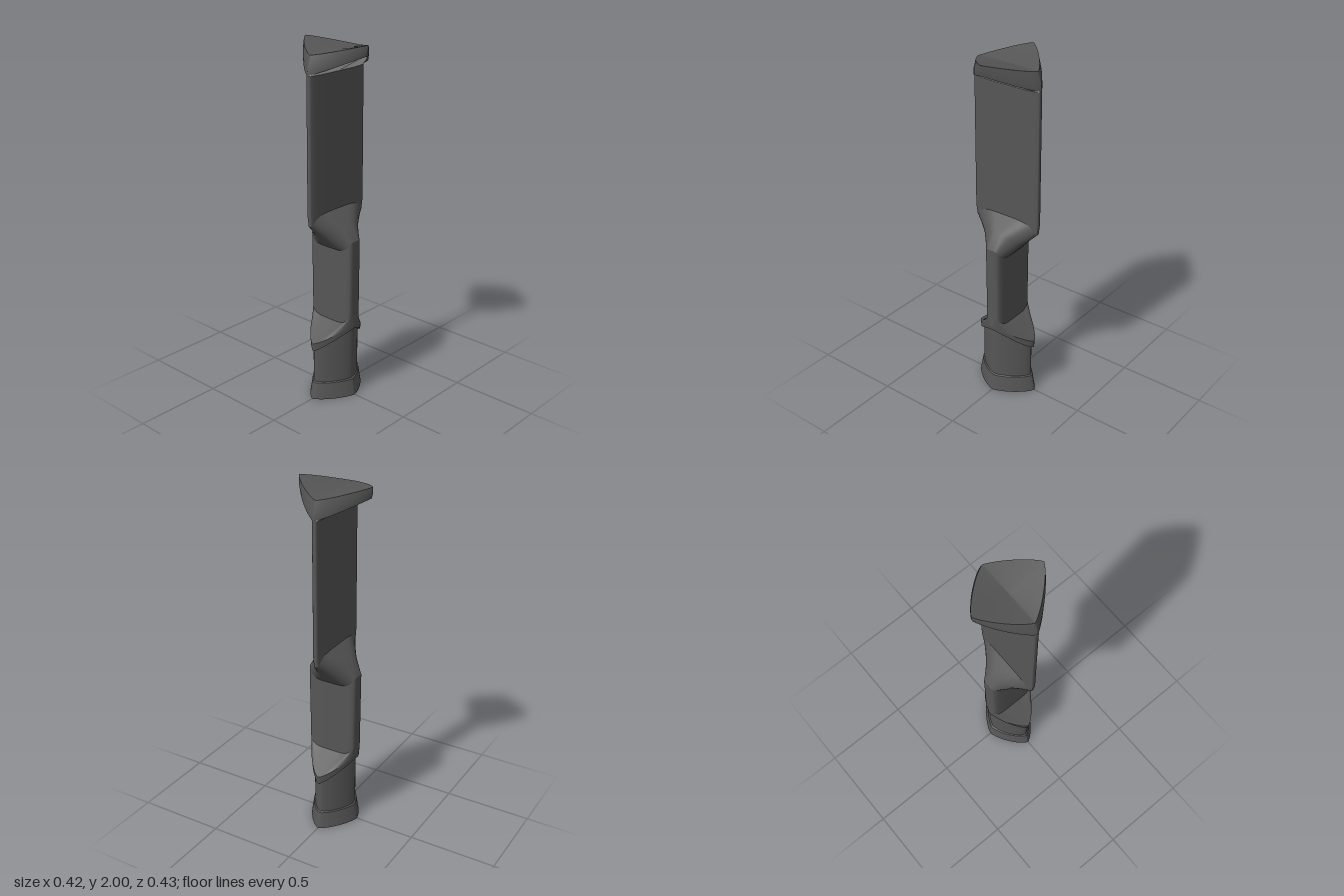
import * as THREE from 'three';

const SEG = 96;
const dark = new THREE.MeshStandardMaterial({ color: 0x565656 });
dark.name = 'darkGrey';
const light = new THREE.MeshStandardMaterial({ color: 0xe0e0e0 });
light.name = 'lightPanel';

// One point of a superellipse ring [halfX, halfZ, exponent, y at the x tips, y at the z tips]
function ringPoint([a, b, n, yx, yz], i) {
  const f = (i / SEG) * Math.PI * 2;
  const c = Math.cos(f), s = Math.sin(f);
  const pow = (v) => (Math.abs(v) < 1e-9 ? 0 : Math.sign(v) * Math.abs(v) ** (2 / n));
  return [a * pow(c), yx + (yz - yx) * s * s, b * pow(s)];
}

// Smooth skin through rings listed from bottom to top
function loft(rings) {
  const pos = [], index = [];
  rings.forEach((r, k) => {
    for (let i = 0; i < SEG; i++) {
      pos.push(...ringPoint(r, i));
      if (k === rings.length - 1) continue;
      const j = (i + 1) % SEG;
      const p = k * SEG + i, q = k * SEG + j;
      index.push(p, p + SEG, q, q, p + SEG, q + SEG);
    }
  });
  const g = new THREE.BufferGeometry();
  g.setAttribute('position', new THREE.Float32BufferAttribute(pos, 3));
  g.setIndex(index);
  g.computeVertexNormals();
  return g;
}

export function createModel() {
  const group = new THREE.Group();
  const add = (name, rings, material = dark) => {
    const mesh = new THREE.Mesh(loft(rings), material);
    mesh.name = name;
    group.add(mesh);
  };

  // Foot
  const footLow = [0.195, 0.145, 1.35, 0, 0];
  const footHigh = [0.176, 0.13, 1.35, 0.095, 0.095];
  const coreLow = [0.166, 0.12, 1.4, 0.1, 0.1];
  add('footBase', [[0, 0, 1.35, 0, 0], footLow]);
  add('footSide', [footLow, footHigh]);
  add('footLedge', [footHigh, coreLow]);

  // Core between foot and collar
  const coreHigh = [0.166, 0.12, 1.4, 0.3, 0.42];
  add('core', [coreLow, coreHigh]);

  // Overhanging collar, sloping into the narrow fin
  const collarLow = [0.186, 0.142, 1.35, 0.3, 0.42];
  const collarHigh = [0.19, 0.145, 1.35, 0.345, 0.44];
  const finLow = [0.052, 0.143, 5, 0.45, 0.5];
  add('collarUnderside', [coreHigh, collarLow]);
  add('collarEdge', [collarLow, collarHigh]);
  add('collarSlope', [collarHigh, finLow]);

  // Fin, wide front to back
  const finHigh = [0.052, 0.147, 5, 0.88, 0.94];
  add('fin', [finLow, finHigh]);

  // Twisted joint from the fin to the wide slab
  const slabLow = [0.202, 0.02, 5, 1.04, 1.1];
  add('joint', [finHigh, [0.125, 0.1, 2.6, 0.96, 1.02], slabLow]);

  // Slab, wide left to right
  const slabHigh = [0.208, 0.02, 5, 1.85, 1.845];
  add('slab', [slabLow, [0.21, 0.02, 5, 1.1, 1.13], slabHigh]);

  // Flared head: light underside panel, rim and saddle-shaped top
  const panelEdge = [0.204, 0.195, 1.2, 1.855, 1.945];
  const rimLow = [0.21, 0.207, 1.2, 1.85, 1.942];
  const rimHigh = [0.188, 0.213, 1.2, 1.95, 2];
  add('headPanel', [slabHigh, panelEdge], light);
  add('headLip', [panelEdge, rimLow]);
  add('headRim', [rimLow, [0.207, 0.214, 1.2, 1.89, 1.97], rimHigh]);
  add('headTop', [rimHigh, [0.094, 0.106, 1.2, 1.955, 1.974], [0, 0, 1.2, 1.955, 1.955]]);

  return group;
}
